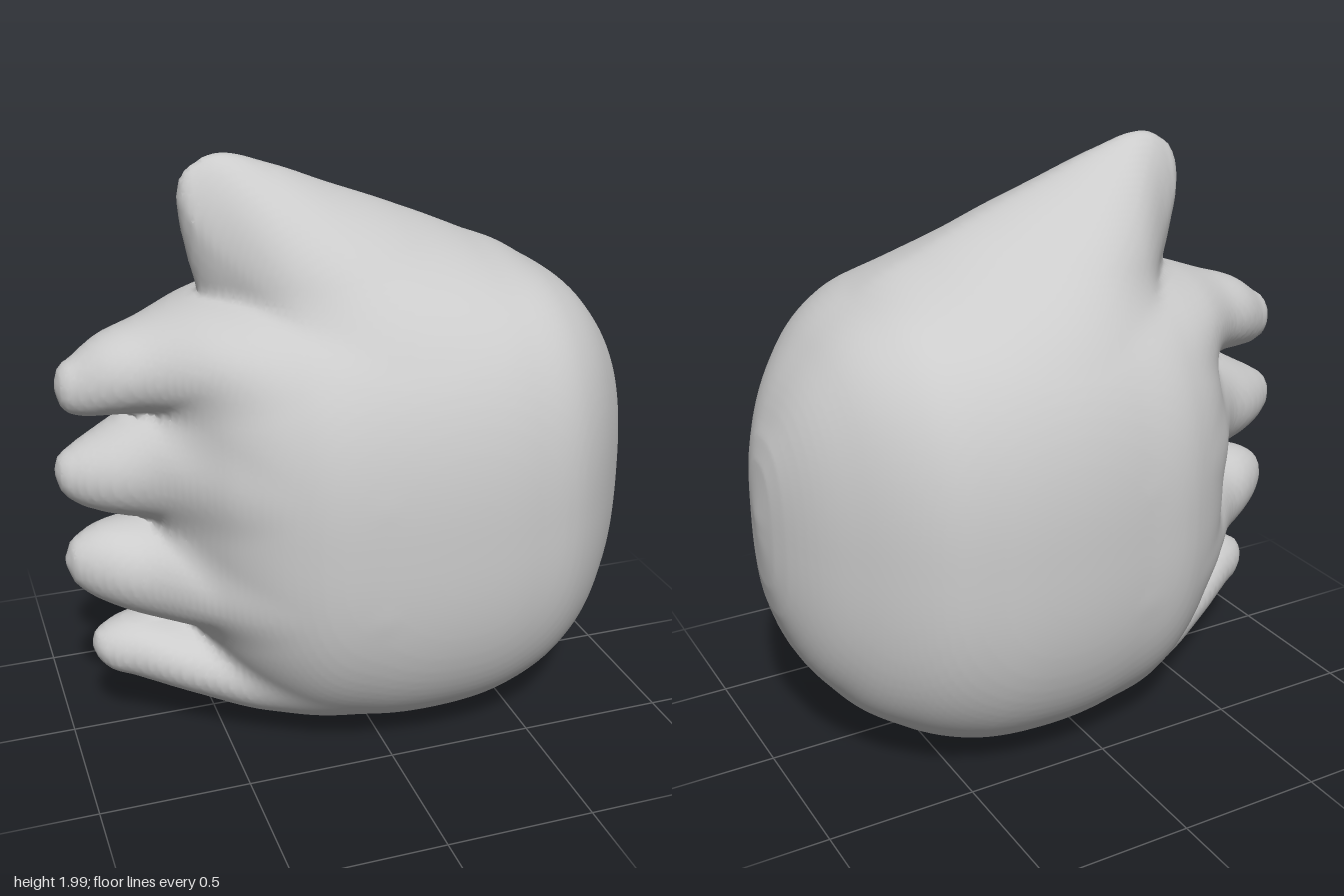
import * as THREE from 'three';

const STEP = 0.02, MIN = [-1.06, -0.06, -0.75], COUNT = [107, 107, 76];
const STRIDE = [1, COUNT[0], COUNT[0] * COUNT[1]];

// A solid made of cross-sections along x, each [x, bottom y, top y, half depth];
// n is the superellipse power (1 = diamond, 2 = ellipse, more = boxier).
// Returns a function giving the rough distance to its surface.
function solid(n, sections) {
  const spline = new THREE.CubicInterpolant(
    sections.map((s) => s[0]), sections.flatMap((s) => s.slice(1)), 3);
  const first = sections[0][0], last = sections.at(-1)[0];
  const slices = Array.from({ length: COUNT[0] }, (_, i) => {
    const x = MIN[0] + i * STEP;
    const [lo, hi, depth] = spline.evaluate(THREE.MathUtils.clamp(x, first, last));
    return {
      mid: (lo + hi) / 2, h: Math.max((hi - lo) / 2, 0.001), w: Math.max(depth, 0.001),
      beyond: Math.max(first - x, x - last, 0),
    };
  });
  return (i, y, z) => {
    const { mid, h, w, beyond } = slices[i];
    const dy = Math.abs(y - mid) + 1e-6, dz = Math.abs(z);
    const r = ((dy / h) ** n + (dz / w) ** n) ** (1 / n);
    return Math.hypot(dy, dz) * (1 - 1 / r) + beyond;
  };
}

// Union with a soft fillet of size k
function blend(a, b, k) {
  const t = Math.max(k - Math.abs(a - b), 0) / k;
  return Math.min(a, b) - (t * t * k) / 4;
}

// Rounded palm, thinning to a wedge where the fingers start
const palm = solid(2.55, [
  [-0.72, 0.95, 1.0, 0], [-0.68, 0.75, 1.16, 0.12], [-0.62, 0.52, 1.33, 0.23],
  [-0.5, 0.3, 1.47, 0.44], [-0.3, 0.11, 1.58, 0.6], [-0.05, 0.025, 1.64, 0.655],
  [0.2, 0.01, 1.66, 0.675], [0.43, 0.04, 1.64, 0.655], [0.63, 0.13, 1.58, 0.59],
  [0.8, 0.26, 1.45, 0.43], [0.94, 0.5, 1.22, 0.21], [0.985, 0.7, 1.07, 0.08],
  [1.0, 0.88, 0.92, 0],
]);

// Thumb, a rounded ridge that runs along the top of the palm
const thumb = solid(1.6, [
  [-0.555, 1.85, 1.87, 0], [-0.54, 1.74, 1.93, 0.045], [-0.5, 1.57, 1.97, 0.085],
  [-0.43, 1.38, 2.0, 0.145], [-0.25, 1.1, 1.955, 0.33], [-0.06, 1.0, 1.88, 0.45],
  [0.15, 1.0, 1.8, 0.48], [0.4, 1.0, 1.69, 0.44], [0.6, 1.05, 1.56, 0.3],
  [0.75, 1.2, 1.3, 0],
]);

// Four fingers from top to bottom, flaring back into the palm
const fingers = [
  [
    [-0.98, 1.28, 1.3, 0], [-0.965, 1.23, 1.34, 0.045], [-0.91, 1.19, 1.385, 0.09],
    [-0.83, 1.185, 1.44, 0.14], [-0.7, 1.185, 1.485, 0.2], [-0.48, 1.15, 1.555, 0.37],
    [-0.25, 1.08, 1.57, 0.44], [0.05, 1.2, 1.5, 0.4], [0.2, 1.35, 1.36, 0],
  ],
  [
    [-1.0, 0.99, 1.01, 0], [-0.985, 0.94, 1.04, 0.045], [-0.94, 0.89, 1.075, 0.09],
    [-0.86, 0.85, 1.12, 0.14], [-0.71, 0.81, 1.195, 0.21], [-0.5, 0.78, 1.23, 0.43],
    [-0.25, 0.74, 1.25, 0.52], [0.05, 0.8, 1.2, 0.5], [0.2, 1.0, 1.01, 0],
  ],
  [
    [-0.985, 0.66, 0.68, 0], [-0.97, 0.61, 0.72, 0.045], [-0.93, 0.56, 0.755, 0.09],
    [-0.86, 0.51, 0.785, 0.14], [-0.73, 0.45, 0.8, 0.21], [-0.5, 0.415, 0.82, 0.43],
    [-0.25, 0.39, 0.85, 0.52], [0.05, 0.45, 0.8, 0.5], [0.2, 0.62, 0.63, 0],
  ],
  [
    [-0.92, 0.33, 0.345, 0], [-0.905, 0.295, 0.375, 0.04], [-0.87, 0.25, 0.4, 0.08],
    [-0.79, 0.215, 0.425, 0.13], [-0.6, 0.14, 0.415, 0.24], [-0.35, 0.055, 0.42, 0.36],
    [-0.1, 0.05, 0.42, 0.4], [0.1, 0.12, 0.38, 0.35], [0.25, 0.25, 0.26, 0],
  ],
].map((sections) => solid(2, sections));

function hand(i, y, z) {
  const digits = fingers.map((finger) => finger(i, y, z)).reduce((a, b) => blend(a, b, 0.02));
  return blend(blend(digits, thumb(i, y, z), 0.04), palm(i, y, z), 0.08);
}

// Skin over a solid: one vertex per grid cell the surface crosses, one quad per crossed grid edge
function skin(field) {
  const [nx, ny, nz] = COUNT;
  const values = new Float32Array(nx * ny * nz).fill(1);
  const eachPoint = (from, visit) => {
    for (let k = from; k < nz - 1; k++)
      for (let j = from; j < ny - 1; j++)
        for (let i = from; i < nx - 1; i++) visit(i + j * STRIDE[1] + k * STRIDE[2], [i, j, k]);
  };
  eachPoint(0, (p, [i, j, k]) => {
    values[p] = field(i, MIN[1] + j * STEP, MIN[2] + k * STEP);
  });

  const bit = (corner, d) => (corner >> d) & 1;
  const offset = (corner) => STRIDE.reduce((sum, s, d) => sum + s * bit(corner, d), 0);
  const edges = [];
  for (let a = 0; a < 8; a++)
    for (let d = 0; d < 3; d++)
      if (!bit(a, d)) edges.push({ a, d, from: offset(a), to: offset(a) + STRIDE[d] });

  const pos = [], index = [], vertexOf = new Map();
  eachPoint(0, (p, cell) => {
    const sum = [0, 0, 0];
    let hits = 0;
    for (const { a, d, from, to } of edges) {
      const f = values[p + from], g = values[p + to];
      if (f < 0 === g < 0) continue;
      for (let c = 0; c < 3; c++) sum[c] += bit(a, c) + (c === d ? f / (f - g) : 0);
      hits++;
    }
    if (!hits) return;
    vertexOf.set(p, pos.length / 3);
    pos.push(...sum.map((s, c) => MIN[c] + (cell[c] + s / hits) * STEP));
  });
  eachPoint(1, (p) => {
    for (let d = 0; d < 3; d++) {
      const inside = values[p] < 0;
      if (inside === values[p + STRIDE[d]] < 0) continue;
      const u = STRIDE[(d + 1) % 3], v = STRIDE[(d + 2) % 3];
      const quad = [p, p - u, p - u - v, p - v].map((cell) => vertexOf.get(cell));
      if (!inside) quad.reverse();
      const [a, b, c, e] = quad;
      index.push(a, b, c, a, c, e);
    }
  });
  const geo = new THREE.BufferGeometry();
  geo.setAttribute('position', new THREE.Float32BufferAttribute(pos, 3));
  geo.setIndex(index);
  geo.computeVertexNormals();
  return geo;
}

export function createModel() {
  const group = new THREE.Group();
  group.name = 'cartoonHand';
  const mesh = new THREE.Mesh(skin(hand), new THREE.MeshStandardMaterial({ color: 0xcccccc }));
  mesh.name = 'palmThumbAndFingers';
  group.add(mesh);
  return group;
}
